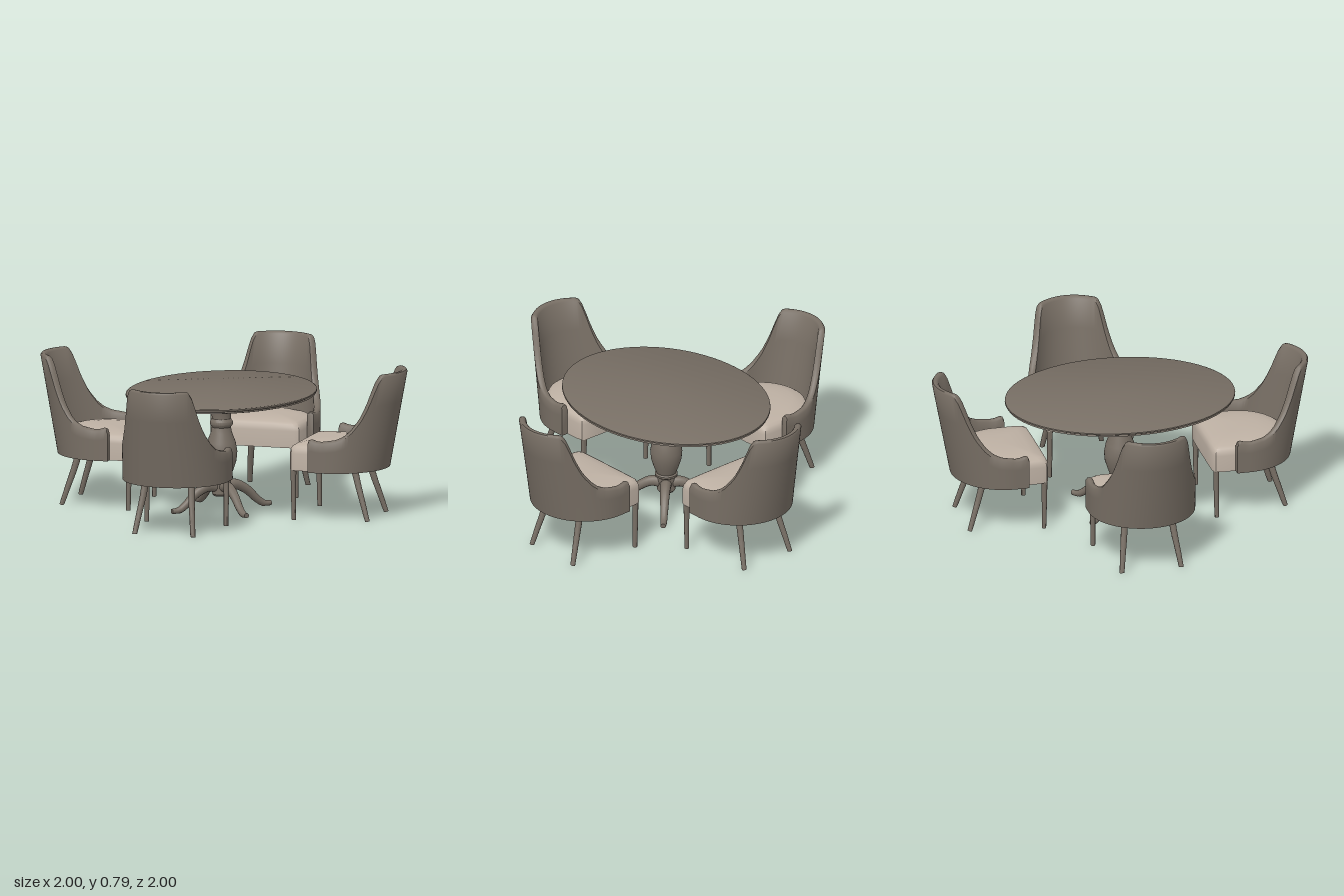
import * as THREE from 'three';
import { toCreasedNormals } from 'three/addons/utils/BufferGeometryUtils.js';

const V = (x, y, z) => new THREE.Vector3(x, y, z);

// Skin a list of equal-length closed rings and cap both ends
function loft(rings, crease = 0.7) {
  const n = rings[0].length, last = (rings.length - 1) * n, index = [];
  for (let i = 0; i < rings.length - 1; i++) {
    for (let j = 0; j < n; j++) {
      const k = (j + 1) % n, a = i * n, b = a + n;
      index.push(a + j, b + j, b + k, a + j, b + k, a + k);
    }
  }
  for (let j = 1; j < n - 1; j++) {
    index.push(0, j, j + 1, last, last + j + 1, last + j);
  }
  const geo = new THREE.BufferGeometry().setFromPoints(rings.flat());
  geo.setIndex(index);
  return toCreasedNormals(geo, crease);
}

// Tapered round limb along a smooth path of [x, y, z, radius]
function limb(path, steps = 10, sides = 10) {
  const curve = new THREE.CatmullRomCurve3(path.map(p => V(p[0], p[1], p[2])));
  const rings = [];
  for (let i = 0; i <= steps; i++) {
    const t = i / steps, f = t * (path.length - 1);
    const k = Math.min(Math.floor(f), path.length - 2);
    const r = THREE.MathUtils.lerp(path[k][3], path[k + 1][3], f - k);
    const c = curve.getPoint(t), v = curve.getTangent(t).cross(V(1, 0, 0)).normalize();
    const ring = [];
    for (let j = 0; j < sides; j++) {
      const a = (j + 0.5) / sides * Math.PI * 2;
      const p = c.clone().addScaledVector(v, -r * Math.sin(a));
      p.x += r * Math.cos(a);
      p.y = Math.max(0, p.y);
      ring.push(p);
    }
    rings.push(ring);
  }
  return loft(rings, 0.9);
}

// Linear lookup in [[key, value], ...]
function lookup(table, k) {
  for (let i = 1; i < table.length; i++) {
    const [a, va] = table[i - 1], [b, vb] = table[i];
    if (k <= b) return va + (vb - va) * (k - a) / (b - a);
  }
  return table[table.length - 1][1];
}

const BASE = 0.265, ARC_Z = 0.62;

// Wraparound back: a leaning U whose rim sweeps down into the arms
function shellGeometry() {
  const rim = [[0, 0.785], [35, 0.785], [38, 0.77], [42, 0.70], [46, 0.625], [52, 0.55],
    [60, 0.492], [67, 0.46], [75, 0.442], [90, 0.43]];
  const stations = [];
  const arm = [[0.55, 0.425], [0.555, 0.437], [0.57, 0.441], [0.595, 0.433]];
  for (const [z, top] of arm) stations.push({ deg: -90, z, top });
  for (let i = 0; i <= 60; i++) {
    const deg = -90 + i * 3;
    stations.push({ deg, z: ARC_Z, top: lookup(rim, Math.abs(deg)) });
  }
  for (const [z, top] of arm.slice().reverse()) stations.push({ deg: 90, z, top });

  const rings = stations.map(({ deg, z, top }) => {
    const a = deg * Math.PI / 180, s = Math.sin(a), c = Math.cos(a);
    const at = (inset, y) => V((0.283 - inset) * s, y,
      z + (0.28 - inset) * c + 0.1 * c * (y - BASE) / 0.52);
    const heights = [0, 0.35, 0.7, 1].map(t => BASE + (top - 0.012 - BASE) * t);
    return [
      ...heights.map(y => at(0, y)),
      at(0.008, top - 0.002), at(0.018, top), at(0.028, top - 0.002),
      ...heights.slice().reverse().map(y => at(0.036, y)),
    ];
  });
  return loft(rings, 0.8);
}

// Crowned cushion: round at the back, nearly square at the front
function seatGeometry() {
  const plan = [];
  for (let i = 0; i <= 32; i++) {
    const a = Math.PI / 2 - Math.PI * i / 32;
    plan.push([0.247 * Math.sin(a), ARC_Z + 0.25 * Math.cos(a)]);
  }
  const front = [[0.245, 0.47], [0.238, 0.445], [0.215, 0.432], [0.1, 0.43]];
  for (const [x, z] of front) plan.push([-x, z]);
  for (const [x, z] of front.slice().reverse()) plan.push([x, z]);
  const levels = [[1, BASE], [1, 0.355], [0.985, 0.375], [0.95, 0.39], [0.88, 0.4],
    [0.65, 0.412], [0.35, 0.419], [0.05, 0.42]];
  return loft(levels.map(([s, y]) => plan.map(([x, z]) => V(x * s, y, 0.65 + (z - 0.65) * s))));
}

export function createModel() {
  const model = new THREE.Group();
  model.name = 'diningSet';
  const wood = new THREE.MeshStandardMaterial({ color: 0x776e64 });
  wood.name = 'taupe wood and upholstery';
  const fabric = new THREE.MeshStandardMaterial({ color: 0xbdb0a3 });
  fabric.name = 'pale seat fabric';

  const add = (parent, name, geo, mat) => {
    const mesh = new THREE.Mesh(geo, mat);
    mesh.name = name;
    parent.add(mesh);
    return mesh;
  };

  // Table
  const table = new THREE.Group();
  table.name = 'table';
  model.add(table);

  const lathe = (profile, segments) => toCreasedNormals(
    new THREE.LatheGeometry(profile.map(p => new THREE.Vector2(p[0], p[1])), segments), 0.6);

  const topProfile = [[0, 0.61], [0.97, 0.61], [0.99, 0.613], [0.985, 0.62], [1, 0.624],
    [0.998, 0.631], [0.985, 0.635], [0, 0.636]];
  add(table, 'tableTop', lathe(topProfile, 72), wood).scale.set(0.488, 1, 0.61);

  const column = [[0, 0.075], [0.04, 0.075], [0.048, 0.085], [0.048, 0.16], [0.06, 0.168],
    [0.06, 0.178], [0.052, 0.185], [0.066, 0.22], [0.08, 0.265], [0.084, 0.31], [0.075, 0.36],
    [0.056, 0.41], [0.05, 0.44], [0.06, 0.455], [0.06, 0.47], [0.05, 0.485], [0.052, 0.55],
    [0.065, 0.575], [0.065, 0.585], [0.1, 0.587], [0.1, 0.611], [0, 0.611]];
  add(table, 'pedestalColumn', lathe(column, 32), wood);

  const footGeo = limb([[0, 0.125, 0.02, 0.032], [0, 0.13, 0.08, 0.028], [0, 0.095, 0.15, 0.024],
    [0, 0.04, 0.21, 0.02], [0, 0.015, 0.25, 0.018], [0, 0.012, 0.29, 0.014]], 18, 12);
  for (let i = 0; i < 4; i++) {
    add(table, 'pedestalFoot', footGeo, wood).rotation.y = Math.PI / 4 + i * Math.PI / 2;
  }

  // Chairs, each built with its back toward +z and then turned
  const shell = shellGeometry(), seat = seatGeometry();
  const frontLeg = limb([[0, 0, 0.455, 0.012], [0, 0.14, 0.453, 0.014], [0, 0.28, 0.452, 0.016]]);
  const rearLegs = [-1, 1].map(s => limb([[s * 0.16, 0, 0.84, 0.013], [s * 0.148, 0.09, 0.812, 0.015],
    [s * 0.135, 0.18, 0.783, 0.017], [s * 0.125, 0.28, 0.755, 0.019]]));

  const placements = [['frontChair', 0, -0.045, 0], ['leftChair', 1, 0, -0.045],
    ['backChair', 2, 0.045, 0], ['rightChair', 3, 0, -0.045]];
  for (const [name, turn, x, z] of placements) {
    const chair = new THREE.Group();
    chair.name = name;
    chair.position.set(x, 0, z);
    chair.rotation.y = turn * Math.PI / 2;
    add(chair, 'chairBack', shell, wood);
    add(chair, 'seat', seat, fabric);
    for (const s of [-1, 1]) add(chair, 'frontLeg', frontLeg, wood).position.x = s * 0.218;
    for (const geo of rearLegs) add(chair, 'rearLeg', geo, wood);
    model.add(chair);
  }
  return model;
}
